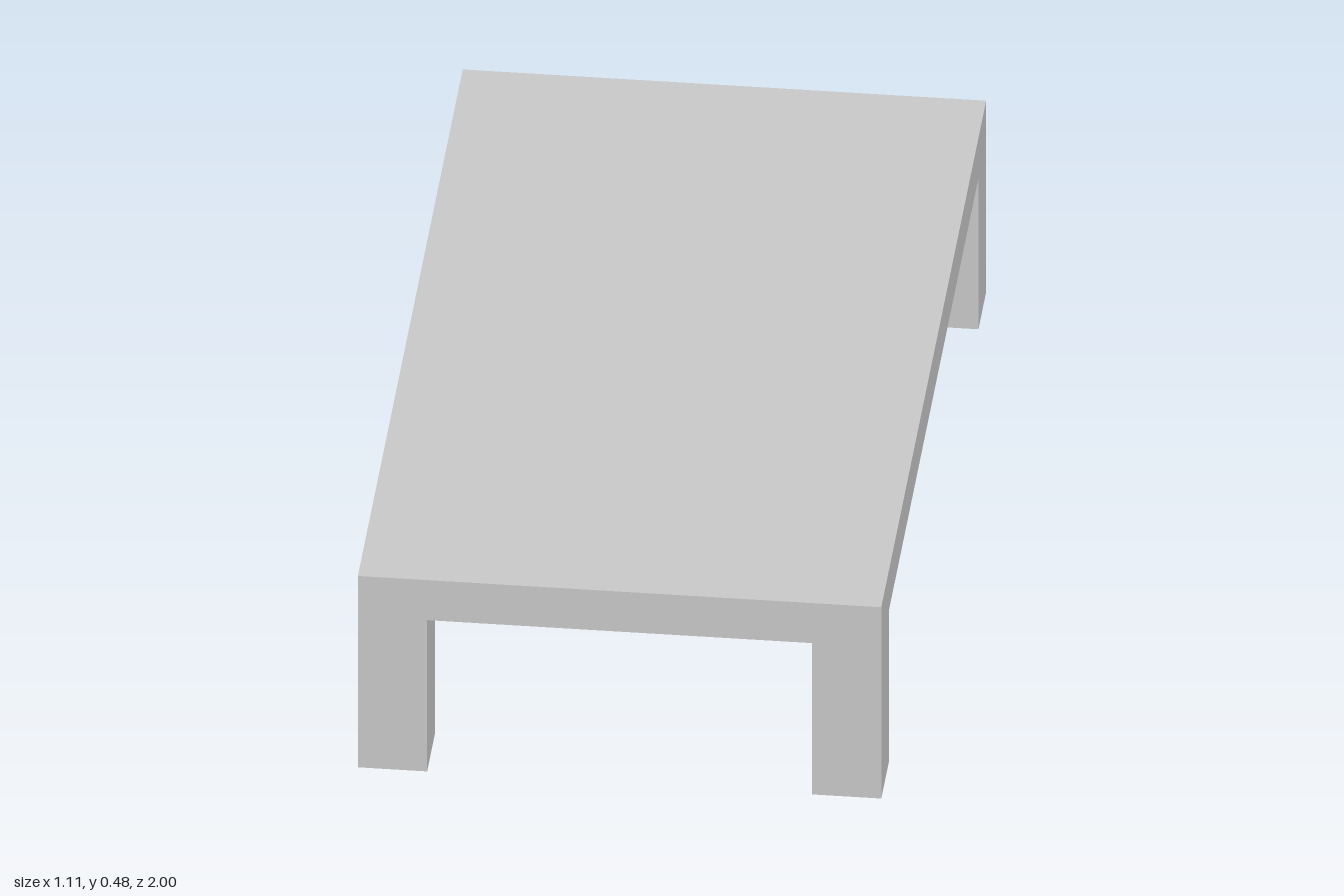
import * as THREE from 'three';

const WIDTH = 1.11, LENGTH = 2, HEIGHT = 0.478;
const TOP = 0.1;    // tabletop thickness
const LEG = 0.147;  // square leg section

export function createModel() {
  const table = new THREE.Group();
  table.name = 'table';
  const material = new THREE.MeshStandardMaterial({ color: 0xcccccc, flatShading: true });

  const addBox = (name, w, h, d, x, y, z) => {
    const mesh = new THREE.Mesh(new THREE.BoxGeometry(w, h, d), material);
    mesh.name = name;
    mesh.position.set(x, y, z);
    table.add(mesh);
  };

  // Tabletop slab
  addBox('tabletop', WIDTH, TOP, LENGTH, 0, HEIGHT - TOP / 2, 0);

  // Four square legs, flush with the corners
  const legHeight = HEIGHT - TOP;
  for (const [end, sz] of [['front', 1], ['back', -1]]) {
    for (const [side, sx] of [['Left', 1], ['Right', -1]]) {
      addBox(`${end}${side}Leg`, LEG, legHeight, LEG,
        sx * (WIDTH - LEG) / 2, legHeight / 2, sz * (LENGTH - LEG) / 2);
    }
  }
  return table;
}
